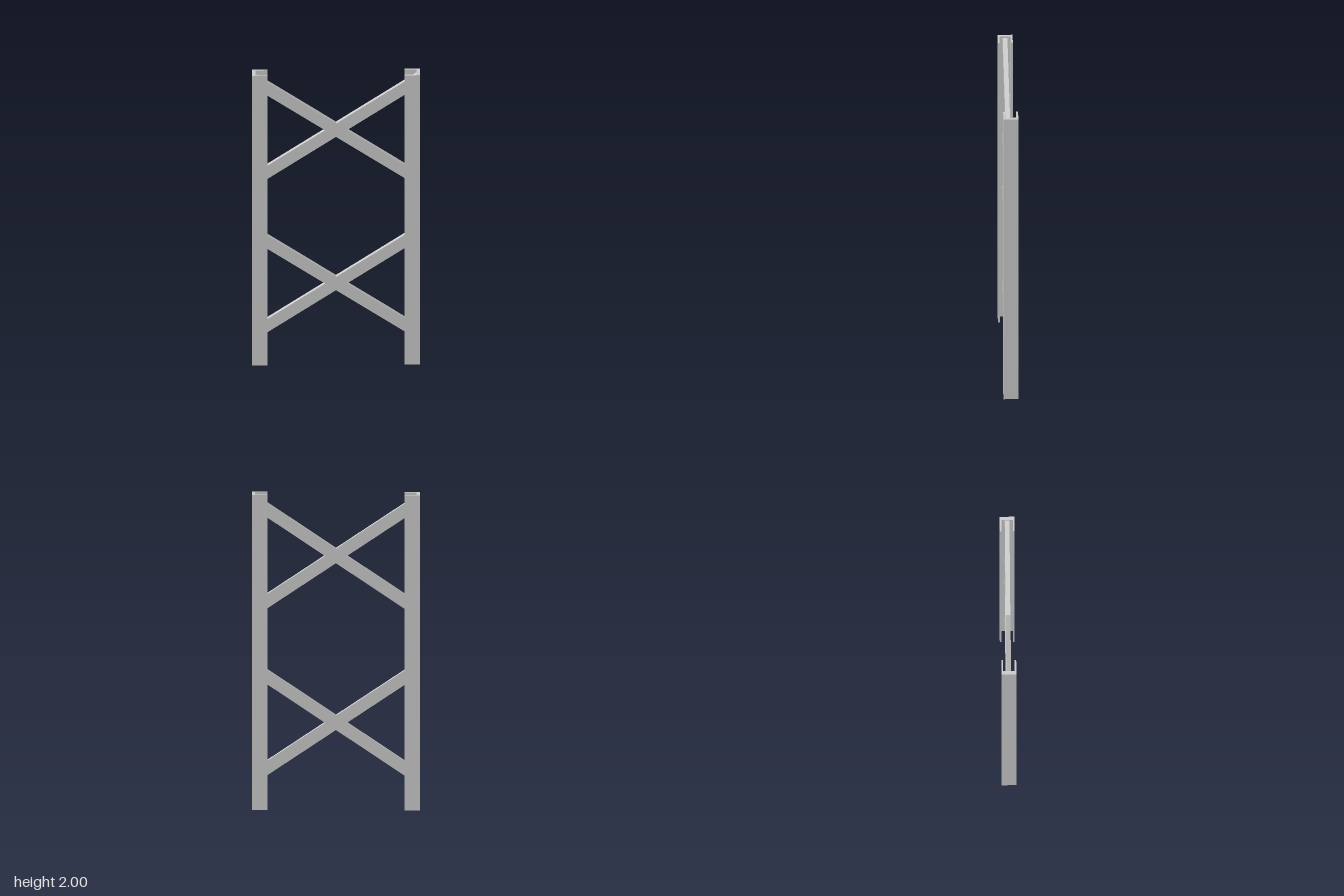
import * as THREE from 'three';

const material = new THREE.MeshStandardMaterial({ color: 0xcccccc, flatShading: true });

// Flat outline extruded to a given depth, centred on z = 0
function extrude(points, depth) {
  const shape = new THREE.Shape(points.map(([x, y]) => new THREE.Vector2(x, y)));
  return new THREE.ExtrudeGeometry(shape, { depth, bevelEnabled: false }).translate(0, 0, -depth / 2);
}

const HEIGHT = 2;
const OUTER = 0.518, WEB = 0.496, LIP = 0.423; // x of web outside, web inside, flange tips
const HALF = 0.046, FLANGE = 0.011;            // half depth and flange thickness

// Upright C-channel, open towards the middle
function channel(side) {
  const outline = [
    [OUTER, -HALF], [OUTER, HALF], [LIP, HALF], [LIP, HALF - FLANGE],
    [WEB, HALF - FLANGE], [WEB, FLANGE - HALF], [LIP, FLANGE - HALF], [LIP, -HALF],
  ];
  const geometry = extrude(outline, HEIGHT).rotateX(-Math.PI / 2).translate(0, HEIGHT / 2, 0);
  if (side < 0) geometry.rotateY(Math.PI);
  const mesh = new THREE.Mesh(geometry, material);
  mesh.name = side > 0 ? 'leftUpright' : 'rightUpright';
  return mesh;
}

// X-shaped brace with vertically cut ends meeting the channel webs
function crossBrace(name, y) {
  const slope = 0.68, h = 0.046, rise = slope * WEB;
  const outline = [
    [0, h], [-WEB, rise + h], [-WEB, rise - h], [-h / slope, 0],
    [-WEB, h - rise], [-WEB, -rise - h], [0, -h], [WEB, -rise - h],
    [WEB, h - rise], [h / slope, 0], [WEB, rise - h], [WEB, rise + h],
  ];
  const mesh = new THREE.Mesh(extrude(outline, 0.029), material);
  mesh.name = name;
  mesh.position.y = y;
  return mesh;
}

export function createModel() {
  const group = new THREE.Group();
  group.name = 'bracedFrame';
  group.add(channel(1), channel(-1));
  group.add(crossBrace('lowerCrossBrace', 0.547), crossBrace('upperCrossBrace', 1.607));
  return group;
}
